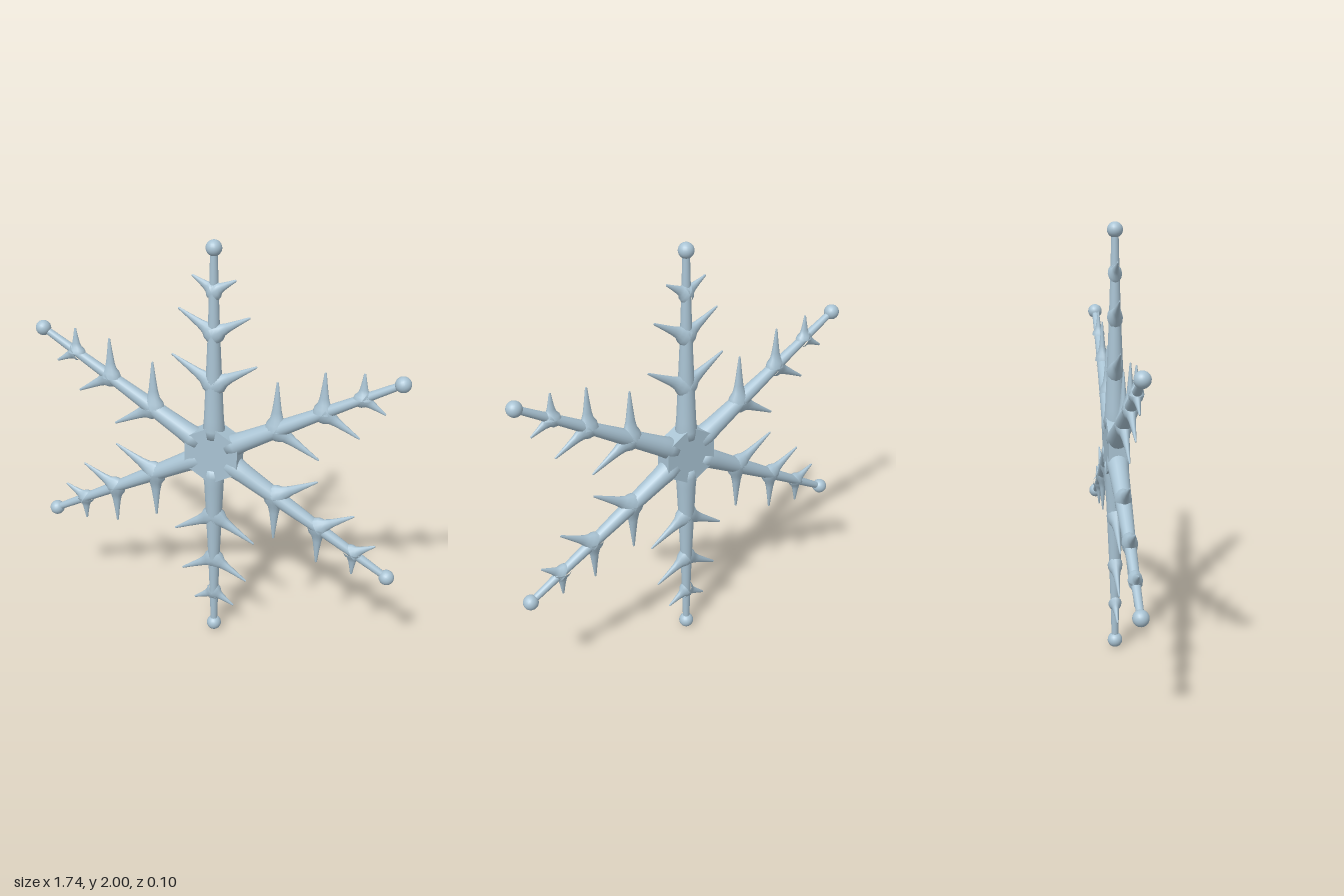
import * as THREE from 'three';

const ice = new THREE.MeshStandardMaterial({ color: 0xa9c3d3 });
ice.name = 'iceBlue';

function part(name, geometry) {
  const mesh = new THREE.Mesh(geometry, ice);
  mesh.name = name;
  return mesh;
}

// Round tapering rod along +y from [radius, height] pairs
function taper(points, segments) {
  return new THREE.LatheGeometry(points.map(([r, y]) => new THREE.Vector2(r, y)), segments);
}

// Thorn starting inside the arm, flared at the root, flattened front to back
function spike(side, [base, length, root]) {
  const geometry = taper([
    [root * 1.3, 0], [root * 1.12, length * 0.13], [root * 0.74, length * 0.23],
    [root * 0.54, length * 0.38], [root * 0.34, length * 0.65], [0.005, length * 0.98], [0, length],
  ], 12);
  geometry.scale(1, 1, 0.72);
  const mesh = part(side > 0 ? 'leftSpike' : 'rightSpike', geometry);
  mesh.position.y = base;
  mesh.rotation.z = -side * Math.PI / 3;
  return mesh;
}

// [distance from the centre, length, root radius]
const SPIKES = [[0.34, 0.232, 0.042], [0.582, 0.192, 0.038], [0.777, 0.117, 0.034]];

function createArm() {
  const arm = new THREE.Group();
  arm.name = 'arm';
  // Shaft, widening where it meets the hub
  arm.add(part('shaft', taper([
    [0, 0.07], [0.046, 0.08], [0.05, 0.12], [0.045, 0.17], [0.039, 0.3], [0.027, 0.58], [0.02, 0.8], [0.016, 0.95],
  ], 20)));
  for (const s of SPIKES) for (const side of [-1, 1]) arm.add(spike(side, s));
  // Bead on the tip
  const bead = part('tipBead', new THREE.SphereGeometry(0.035, 20, 14));
  bead.position.y = 0.965;
  arm.add(bead);
  return arm;
}

export function createModel() {
  const model = new THREE.Group();
  model.name = 'snowflake';

  const flake = new THREE.Group();
  flake.name = 'flake';
  flake.position.y = 1;
  model.add(flake);

  // Hexagonal hub, its corners pointing along the arms
  const hubGeometry = new THREE.CylinderGeometry(0.146, 0.146, 0.086, 6);
  hubGeometry.rotateX(Math.PI / 2);
  const flatHub = hubGeometry.toNonIndexed();
  flatHub.computeVertexNormals();
  flake.add(part('hub', flatHub));

  for (let i = 0; i < 6; i++) {
    const arm = createArm();
    arm.rotation.z = i * Math.PI / 3;
    flake.add(arm);
  }
  return model;
}
